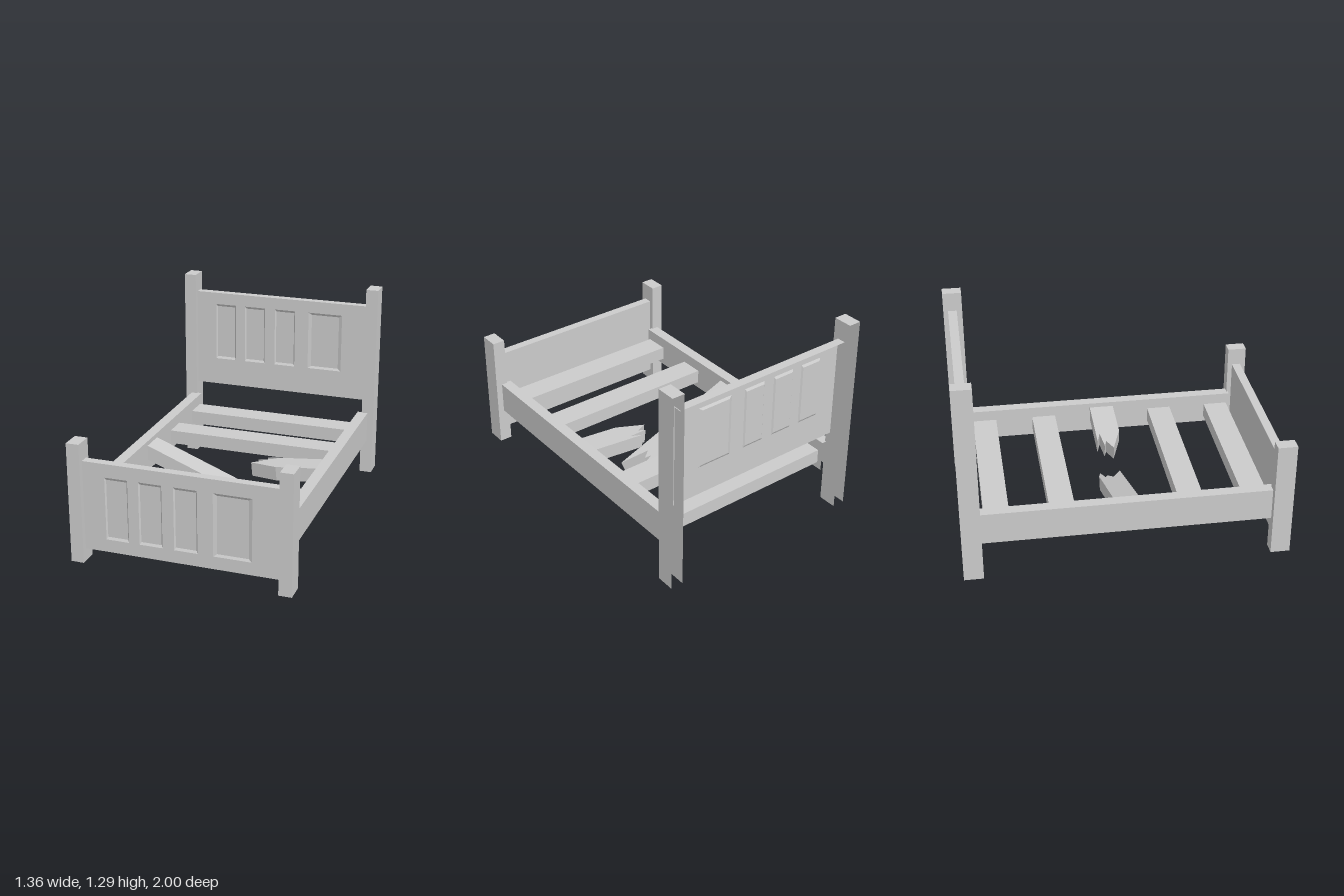
import * as THREE from 'three';

const material = new THREE.MeshStandardMaterial({ color: 0xcccccc, side: THREE.DoubleSide, flatShading: true });
const FACES = ['right', 'left', 'top', 'bottom', 'front', 'back'];

function addMesh(parent, name, geometry) {
  const mesh = new THREE.Mesh(geometry, material);
  mesh.name = name;
  parent.add(mesh);
  return mesh;
}

// Box given by its limits, leaving out the listed faces
function addBox(parent, name, [x0, x1], [y0, y1], [z0, z1], open = []) {
  const geometry = new THREE.BoxGeometry(x1 - x0, y1 - y0, z1 - z0);
  const index = Array.from(geometry.index.array);
  geometry.setIndex(index.filter((_, i) => !open.includes(FACES[Math.floor(i / 6)])));
  geometry.clearGroups();
  geometry.translate((x0 + x1) / 2, (y0 + y1) / 2, (z0 + z1) / 2);
  return addMesh(parent, name, geometry);
}

function rectangle(x0, x1, y0, y1, Type = THREE.Shape) {
  return new Type([[x0, y0], [x1, y0], [x1, y1], [x0, y1]].map(([x, y]) => new THREE.Vector2(x, y)));
}

// Bevelled recess: four sloping sides and a flat inner panel
function recessGeometry(x0, x1, y0, y1, bevelX, bevelY, depth) {
  const ring = (bx, by, z) => [
    x0 + bx, y0 + by, z, x1 - bx, y0 + by, z, x1 - bx, y1 - by, z, x0 + bx, y1 - by, z];
  const index = [4, 5, 6, 4, 6, 7];
  for (let i = 0; i < 4; i++) {
    const j = (i + 1) % 4;
    index.push(i, j, j + 4, i, j + 4, i + 4);
  }
  const geometry = new THREE.BufferGeometry();
  geometry.setAttribute('position', new THREE.Float32BufferAttribute(
    [...ring(0, 0, 0), ...ring(bevelX, bevelY, -depth)], 3));
  geometry.setIndex(index);
  const flat = geometry.toNonIndexed();
  flat.computeVertexNormals();
  return flat;
}

// Board with three narrow recesses and a wide, gently bevelled one on its front
function addBoard(parent, name, y0, y1, z0, z1, panelY, open) {
  const board = new THREE.Group();
  board.name = name;
  parent.add(board);
  const panels = [[-0.463, -0.32, 0.008], [-0.253, -0.11, 0.008], [-0.038, 0.105, 0.008], [0.2, 0.433, 0.022]];
  const face = rectangle(-0.605, 0.605, y0, y1);
  for (const [a, b, bevel] of panels) {
    face.holes.push(rectangle(a, b, panelY, panelY + 0.393, THREE.Path));
    const recess = recessGeometry(a, b, panelY, panelY + 0.393, bevel, 0.015, 0.008);
    addMesh(board, 'recessedPanel', recess).position.z = z1;
  }
  addMesh(board, 'boardFace', new THREE.ShapeGeometry(face)).position.z = z1;
  addBox(board, 'boardShell', [-0.605, 0.605], [y0, y1], [z0, z1], ['front', 'bottom', 'left', 'right', ...open]);
}

// Half of the snapped slat, open below, with its outer end at the origin and a jagged inner end
function addBrokenSlat(parent, name, endX, topY, angle, jag) {
  const stretch = 1 / Math.cos(angle);
  const outline = [[endX, 0.087], [endX, -0.07], ...jag]
    .map(([x, z]) => new THREE.Vector2((x - endX) * stretch, z));
  const geometry = new THREE.ExtrudeGeometry(new THREE.Shape(outline), { depth: 0.09, bevelEnabled: false });
  const lids = geometry.groups[0].count;
  const corners = Array.from({ length: geometry.attributes.position.count }, (_, i) => i);
  geometry.setIndex(corners.filter((i) => i < lids / 2 || i >= lids));
  geometry.clearGroups();
  geometry.rotateX(Math.PI / 2);
  const slat = addMesh(parent, name, geometry);
  slat.position.set(endX, topY, 0);
  slat.rotation.z = angle;
}

export function createModel() {
  const bed = new THREE.Group();
  bed.name = 'bedFrame';

  // Corner posts and side rails
  for (const side of [-1, 1]) {
    const span = (a, b) => (side > 0 ? [a, b] : [-b, -a]);
    addBox(bed, 'footPost', span(0.6, 0.68), [0, 0.75], [0.88, 1], ['bottom']);
    addBox(bed, 'headPost', span(0.6, 0.68), [0, 1.29], [-1, -0.88], ['bottom', 'back']);
    addBox(bed, 'sideRail', span(0.57, 0.64), [0.228, 0.43], [-0.89, 0.89], ['bottom', 'front', 'back']);
  }

  // Headboard is open at the back, footboard is closed
  addBoard(bed, 'headboard', 0.51, 1.168, -0.97, -0.915, 0.695, ['back']);
  addBoard(bed, 'footboard', 0.08, 0.637, 0.91, 0.965, 0.16, []);

  // Whole slats
  for (const z of [-0.78, -0.384, 0.401, 0.794]) {
    addBox(bed, 'slat', [-0.57, 0.57], [0.27, 0.36], [z - 0.077, z + 0.077], ['bottom', 'left', 'right']);
  }

  // Snapped middle slat
  addBrokenSlat(bed, 'brokenSlatFallenHalf', -0.57, 0.4, -0.369,
    [[0.13, -0.07], [0.215, -0.05], [0.095, -0.033], [0.135, -0.012], [0.085, 0.02], [0.25, 0.087]]);
  addBrokenSlat(bed, 'brokenSlatHangingHalf', 0.57, 0.4, 0.1,
    [[0.19, -0.07], [0.27, -0.046], [0.14, -0.03], [0.185, -0.014], [0.11, 0.025], [0.29, 0.087]]);

  return bed;
}
